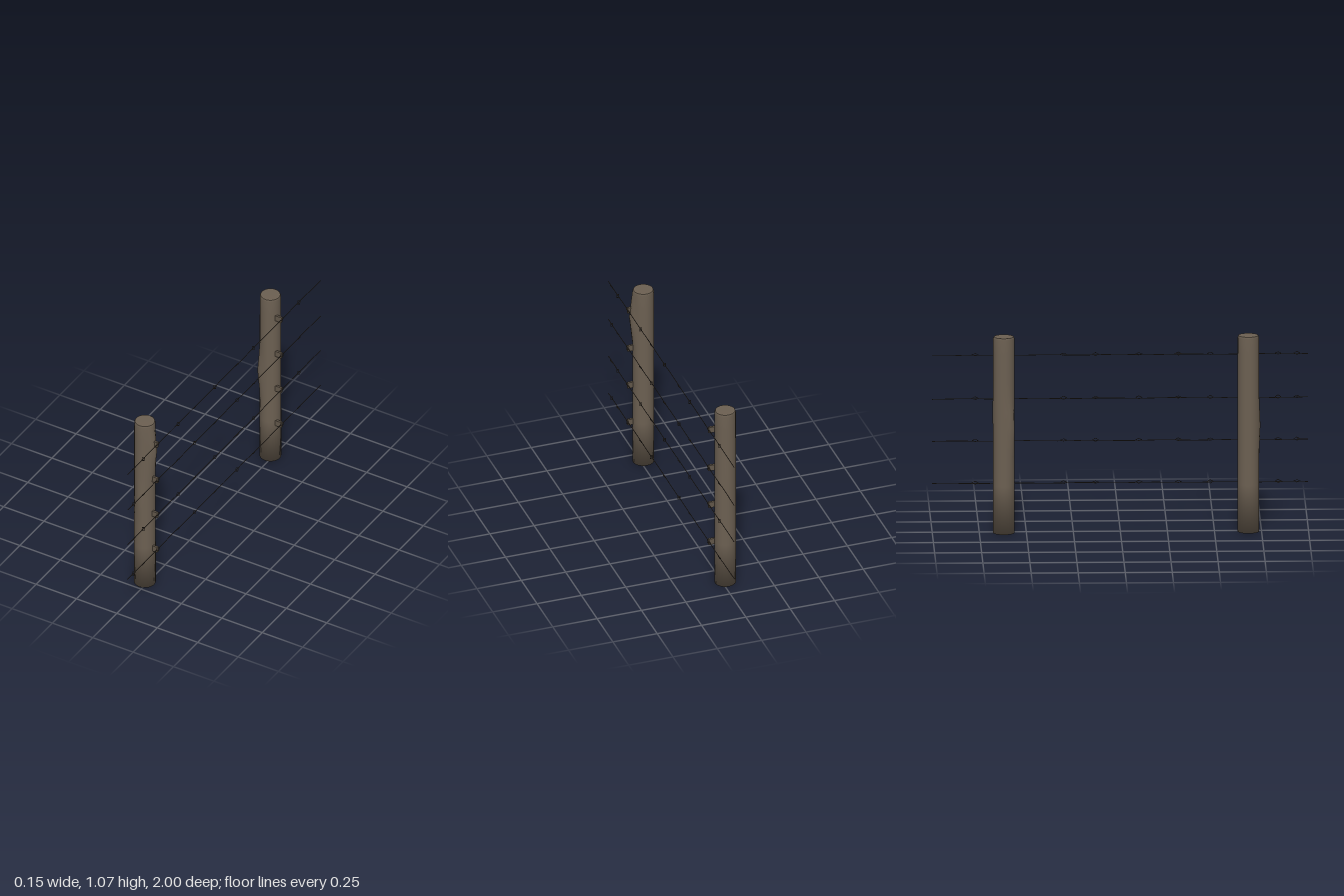
import * as THREE from 'three';

const wood = new THREE.MeshStandardMaterial({ name: 'weathered wood', color: 0x6c6052 });
const iron = new THREE.MeshStandardMaterial({ name: 'brown iron wire', color: 0x463e36 });
const stapleWood = new THREE.MeshStandardMaterial({ name: 'dull staple', color: 0x62574a });

const WIRE_X = 0.065;
const WIRE_Y = [0.25, 0.48, 0.71, 0.947];
const BARB_Z = [0.94, 0.84, 0.69, 0.48, 0.31, 0.1, -0.13, -0.3, -0.595, -0.77];
const SIDES = 24;

// Round log; each knot swells the side at [angle, height, amount].
function makePost(knots) {
  const profile = [[0, 0], [0.0578, 0], [0.0577, 0.26]];
  for (let y = 0.34; y < 1.04; y += 0.08) profile.push([0.0577 - y * 0.001, y]);
  profile.push([0.0565, 1.058], [0.053, 1.067], [0.052, 1.0672], [0, 1.0675]);
  const geo = new THREE.LatheGeometry(profile.map(p => new THREE.Vector2(...p)), SIDES);
  const pos = geo.attributes.position;
  for (let i = 0; i < pos.count; i++) {
    const x = pos.getX(i), y = pos.getY(i), z = pos.getZ(i);
    if (Math.hypot(x, z) < 0.045) continue;
    const a = Math.atan2(z, x);
    let k = 1;
    for (const [angle, height, amount] of knots) {
      const d = Math.abs(Math.atan2(Math.sin(a - angle), Math.cos(a - angle)));
      k += amount * Math.max(0, 1 - d / 0.6) * Math.max(0, 1 - Math.abs(y - height) / 0.17);
    }
    pos.setX(i, x * k);
    pos.setZ(i, z * k);
  }
  geo.computeVertexNormals();
  // Close the shading seam where the lathe starts and ends.
  const rows = profile.length, n = geo.attributes.normal;
  for (let j = 0; j < rows; j++) {
    const b = SIDES * rows + j;
    const v = new THREE.Vector3().fromBufferAttribute(n, j)
      .add(new THREE.Vector3().fromBufferAttribute(n, b)).normalize();
    n.setXYZ(j, v.x, v.y, v.z);
    n.setXYZ(b, v.x, v.y, v.z);
  }
  // Soft shading around the foot.
  for (let i = 1; i < pos.count; i += rows) {
    const v = new THREE.Vector3(pos.getX(i), -0.05, pos.getZ(i)).normalize();
    n.setXYZ(i, v.x, v.y, v.z);
  }
  return new THREE.Mesh(geo, wood);
}

// A four-cornered loop of wire wound slantwise round the strand.
const loopGeo = new THREE.TorusGeometry(0.01, 0.002, 4, 4).rotateY(Math.PI / 2).scale(1, 1, 1.6);

function makeBarb(i) {
  const loop = new THREE.Mesh(loopGeo, iron);
  loop.name = 'barb';
  loop.rotation.z = i % 2 ? -0.75 : 0.6;
  return loop;
}

export function createModel() {
  const model = new THREE.Group();
  model.name = 'barbed wire fence';

  const posts = [
    ['frontPost', 0.68, [[0.13, 0.9, 0.43], [1.57, 0.58, 0.12]]],
    ['backPost', -0.62, [[2.36, 0.58, 0.25], [-1.57, 0.66, 0.04]]],
  ];
  for (const [name, z, knots] of posts) {
    const post = makePost(knots);
    post.name = name;
    post.position.set(-0.018, 0, z);
    model.add(post);
  }

  WIRE_Y.forEach((y, row) => {
    // Gently wavering strand
    const points = [];
    for (let i = 0; i <= 20; i++) {
      points.push(new THREE.Vector3(WIRE_X, y + 0.0015 * Math.sin(i * 1.7 + row), 1 - i * 0.1));
    }
    const strand = new THREE.Mesh(
      new THREE.TubeGeometry(new THREE.CatmullRomCurve3(points), 60, 0.002, 5), iron);
    strand.name = 'wireStrand';
    model.add(strand);

    // Barbs along the strand
    BARB_Z.forEach((z, i) => {
      const barb = makeBarb(i + row);
      barb.position.set(WIRE_X + 0.003, y + 0.003, z);
      model.add(barb);
    });

    // Staples holding the strand to each post
    for (const z of [0.69, -0.595]) {
      const staple = new THREE.Mesh(new THREE.BoxGeometry(0.045, 0.034, 0.012), stapleWood);
      staple.name = 'staple';
      staple.position.set(0.045, y, z);
      model.add(staple);
    }
  });
  return model;
}
